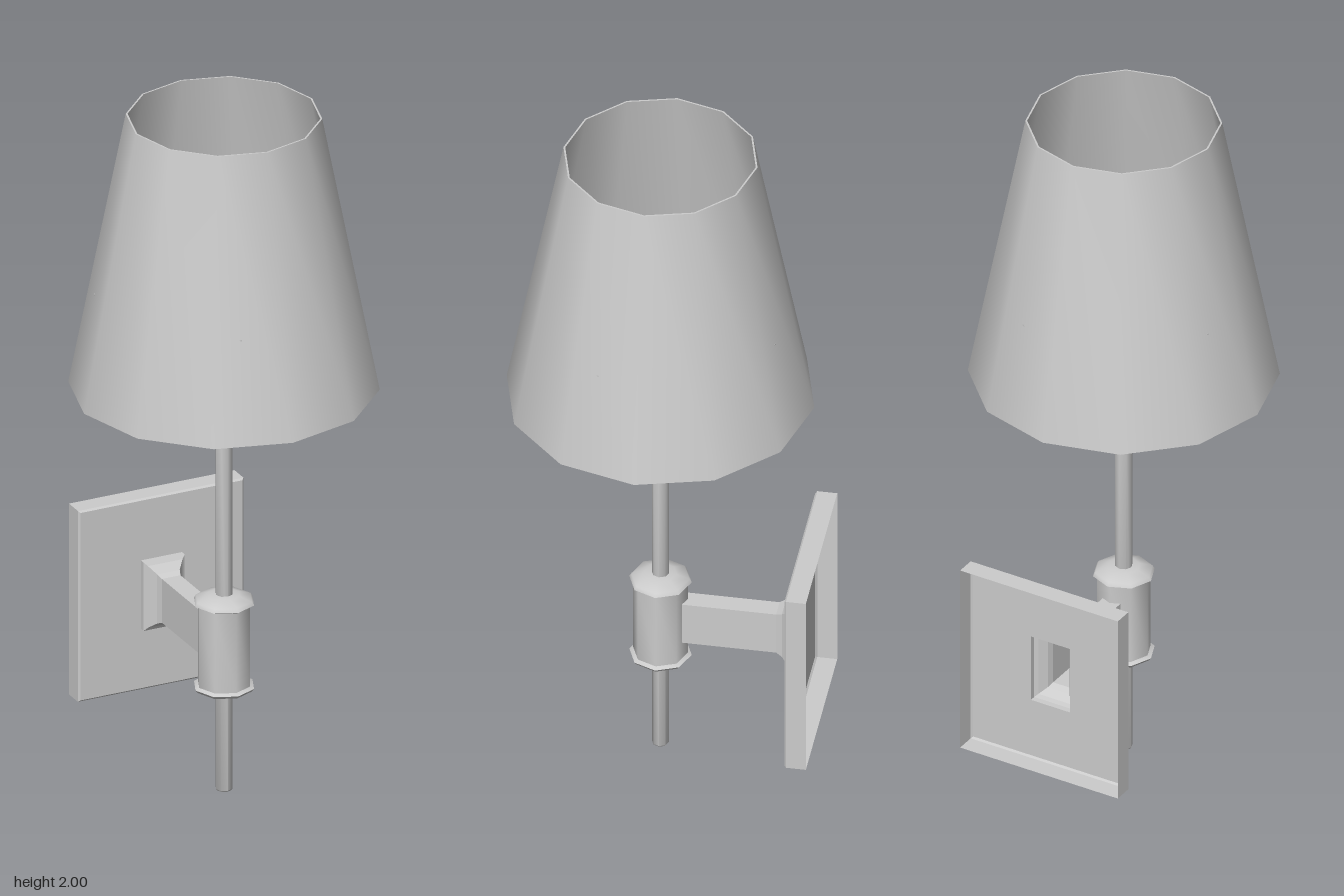
import * as THREE from 'three';
import { toCreasedNormals } from 'three/addons/utils/BufferGeometryUtils.js';

const AXIS_Z = 0.008; // the lamp's upright axis

export function createModel() {
  const model = new THREE.Group();
  const solid = new THREE.MeshStandardMaterial({ color: 0xcccccc });
  const sheet = new THREE.MeshStandardMaterial({ color: 0xcccccc, side: THREE.DoubleSide });

  const add = (name, geometry, material = solid) => {
    const mesh = new THREE.Mesh(geometry, material);
    mesh.name = name;
    model.add(mesh);
    return mesh;
  };

  // Turned part around the lamp axis, profile given as [radius, y] from bottom to top
  const turned = (name, profile, sides, material) => {
    const points = profile.map(([r, y]) => new THREE.Vector2(r, y));
    const geometry = toCreasedNormals(new THREE.LatheGeometry(points, sides), 0.85);
    add(name, geometry, material).position.z = AXIS_Z;
  };

  // Skin through rectangles [halfWidth, yLow, yHigh, z]
  const rectangleLoft = (name, rings) => {
    const corners = rings.map(([w, a, b, z]) => [[-w, a, z], [w, a, z], [w, b, z], [-w, b, z]]);
    const positions = [];
    for (let i = 0; i < corners.length - 1; i++) {
      for (let j = 0; j < 4; j++) {
        const k = (j + 1) % 4;
        const [p, q, r, s] = [corners[i][j], corners[i][k], corners[i + 1][k], corners[i + 1][j]];
        positions.push(...p, ...q, ...r, ...p, ...r, ...s);
      }
    }
    const geometry = new THREE.BufferGeometry();
    geometry.setAttribute('position', new THREE.Float32BufferAttribute(positions, 3));
    geometry.computeVertexNormals();
    add(name, geometry, sheet);
  };

  // Thin tapered shade, open at both ends
  turned('shade', [[0.423, 1.2], [0.267, 2], [0.262, 2], [0.418, 1.2], [0.423, 1.2]], 12, sheet);

  // Upright rod
  turned('rod', [[0, 0], [0.02, 0], [0.024, 0.005], [0.024, 1.08]], 8);

  // Collar with a flange at each end
  turned('collar', [
    [0.024, 0.29], [0.045, 0.29], [0.08, 0.302], [0.086, 0.31], [0.075, 0.316],
    [0.075, 0.552], [0.086, 0.558], [0.08, 0.568], [0.045, 0.58], [0.024, 0.582],
  ], 8);

  // Bulb socket
  turned('socket', [
    [0.02, 1.056], [0.044, 1.056], [0.05, 1.066], [0.05, 1.19], [0.046, 1.2],
    [0.046, 1.29], [0.034, 1.31], [0.02, 1.31],
  ], 8);

  // Flared hub with a hollow tip
  turned('hub', [
    [0.03, 1.3], [0.034, 1.33], [0.072, 1.415], [0.072, 1.43], [0.035, 1.48],
    [0.035, 1.52], [0.018, 1.52], [0.015, 1.5], [0, 1.5],
  ], 8);

  // Four thin spokes from the hub to the shade
  const spokes = new THREE.Group();
  spokes.name = 'spokes';
  spokes.position.set(0, 1.49, AXIS_Z);
  for (let i = 0; i < 4; i++) {
    const geometry = new THREE.CylinderGeometry(0.004, 0.004, 0.33, 6);
    geometry.rotateZ(Math.PI / 2).translate(0.19, 0, 0);
    const spoke = new THREE.Mesh(geometry, solid);
    spoke.name = 'spoke';
    spoke.rotation.y = -0.33 + i * Math.PI / 2;
    spokes.add(spoke);
  }
  model.add(spokes);

  // Wall plate, a shallow pan open at the back with a central opening
  rectangleLoft('wallPlate', [
    [0.25, 0.153, 0.72, -0.435], [0.25, 0.153, 0.72, -0.38],
    [0.245, 0.158, 0.715, -0.375], [0.062, 0.335, 0.538, -0.375],
  ]);

  // Hollow arm, flared where it meets the plate
  rectangleLoft('arm', [
    [0.062, 0.335, 0.538, -0.375], [0.062, 0.335, 0.538, -0.358],
    [0.052, 0.345, 0.528, -0.352], [0.034, 0.362, 0.508, -0.332],
    [0.028, 0.37, 0.5, -0.315], [0.028, 0.37, 0.5, -0.05],
  ]);

  return model;
}
